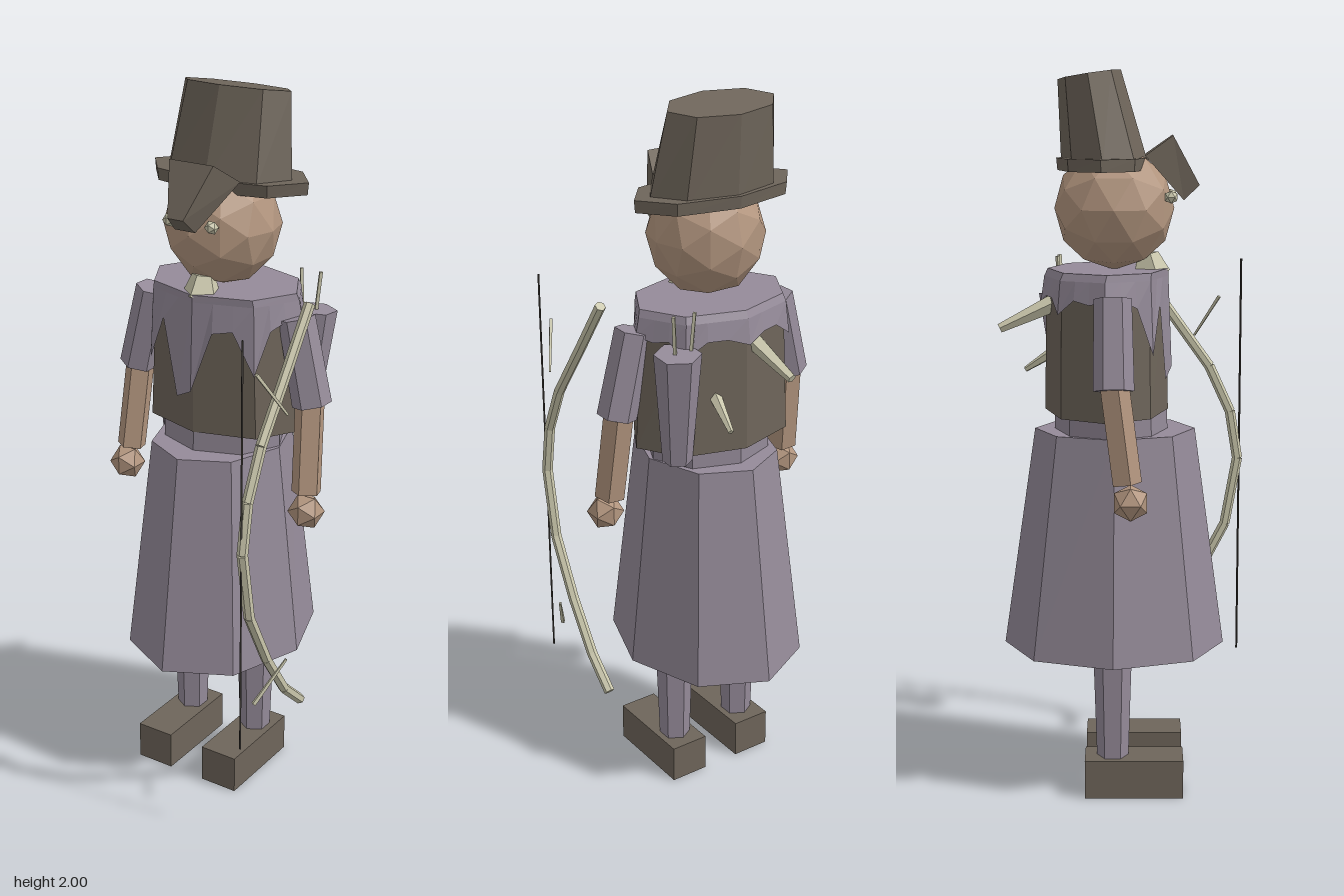
import * as THREE from 'three';

const V = (x, y, z) => new THREE.Vector3(x, y, z);
const CX = -0.007; // body centre line

function material(name, color, extra = {}) {
  const m = new THREE.MeshStandardMaterial({ color, flatShading: true, ...extra });
  m.name = name;
  return m;
}

// Elliptical frustum: each end is { y, z, rx, rz, tilt }
function frustum(bottom, top, sides = 8) {
  const g = new THREE.CylinderGeometry(1, 1, 1, sides).toNonIndexed();
  const p = g.attributes.position;
  for (let i = 0; i < p.count; i++) {
    const e = p.getY(i) > 0 ? top : bottom;
    const z = p.getZ(i) * e.rz;
    p.setXYZ(i, CX + p.getX(i) * e.rx, e.y + z * (e.tilt || 0), e.z + z);
  }
  g.computeVertexNormals();
  return g;
}

// Tapered rod from a to b
function rod(a, b, ra, rb, sides = 6) {
  const d = b.clone().sub(a);
  const g = new THREE.CylinderGeometry(rb, ra, d.length(), sides);
  g.applyQuaternion(new THREE.Quaternion().setFromUnitVectors(V(0, 1, 0), d.normalize()));
  const c = a.clone().add(b).multiplyScalar(0.5);
  return g.translate(c.x, c.y, c.z);
}

// Point on an octagon of unit radius, with a corner at the front
function octagon(angle) {
  const s = Math.PI / 4;
  const local = ((angle % s) + s) % s - s / 2;
  const r = Math.cos(s / 2) / Math.cos(local);
  return [Math.sin(angle) * r, Math.cos(angle) * r];
}

export function createModel() {
  const cloth = material('grey violet cloth', 0x958b99);
  const clothOpen = material('grey violet cape', 0x958b99, { side: THREE.DoubleSide });
  const leather = material('dark brown leather', 0x6e655a);
  const skin = material('skin', 0xb3967f);
  const bone = material('pale wood', 0xcac7ac);
  const dark = material('dark string', 0x3f3b36);

  const model = new THREE.Group();
  model.name = 'archer';
  const add = (name, geometry, mat) => {
    const mesh = new THREE.Mesh(geometry, mat);
    mesh.name = name;
    model.add(mesh);
    return mesh;
  };

  // Boots, legs, arms and hands, mirrored about the centre line
  for (const s of [-1, 1]) {
    const side = s < 0 ? 'right' : 'left';
    const at = (x, y, z) => V(CX + s * x, y, z);
    add(side + 'Boot', new THREE.BoxGeometry(0.113, 0.11, 0.275).translate(CX + s * 0.112, 0.055, 0.022), leather);
    add(side + 'Leg', rod(at(0.112, 0.1, -0.038), at(0.112, 0.45, -0.038), 0.044, 0.055), cloth);
    add(side + 'Sleeve', rod(at(0.287, 1.175, -0.032), at(0.232, 1.41, -0.035), 0.054, 0.05, 6), cloth);
    add(side + 'Forearm', rod(at(0.295, 0.93, 0), at(0.28, 1.2, -0.035), 0.042, 0.042, 5), skin);
    const hand = add(side + 'Hand', new THREE.IcosahedronGeometry(0.051, 0), skin);
    hand.position.copy(at(0.302, 0.88, 0.012));
    const eye = add(side + 'Eye', new THREE.IcosahedronGeometry(0.019, 0), bone);
    eye.position.copy(at(0.066, 1.665, 0.12));
  }

  // Skirt, torso and vest
  add('skirt', frustum({ y: 0.405, z: -0.035, rx: 0.254, rz: 0.31 }, { y: 1.025, z: -0.032, rx: 0.186, rz: 0.222 }), cloth);
  add('torso', frustum({ y: 1.0, z: -0.042, rx: 0.18, rz: 0.157 }, { y: 1.42, z: -0.05, rx: 0.18, rz: 0.15 }), cloth);
  add('vest', frustum({ y: 1.08, z: -0.055, rx: 0.242, rz: 0.17 }, { y: 1.42, z: -0.055, rx: 0.222, rz: 0.165 }), leather);
  add('sideDagger', rod(V(-0.185, 0.89, -0.02), V(-0.182, 1.04, -0.02), 0.004, 0.024, 4), cloth);

  // Short cape with a ragged lower edge: hem heights run round from the front
  const hem = [1.20, 1.37, 1.38, 1.26, 1.38, 1.40, 1.40, 1.39, 1.40, 1.36, 1.40, 1.40,
    1.38, 1.40, 1.40, 1.36, 1.40, 1.39, 1.40, 1.40, 1.38, 1.25, 1.38, 1.17];
  const cape = new THREE.CylinderGeometry(1, 1, 1, 24, 1, true);
  const cp = cape.attributes.position;
  for (let i = 0; i < cp.count; i++) {
    const k = i % 25;
    const [x, z] = octagon((k / 24) * Math.PI * 2);
    const top = cp.getY(i) > 0;
    cp.setXYZ(i, CX + x * (top ? 0.228 : 0.238), top ? 1.45 : hem[k % 24], -0.055 + z * (top ? 0.17 : 0.18));
  }
  cape.computeVertexNormals();
  add('raggedCape', cape, clothOpen);
  add('capeTop', frustum({ y: 1.45, z: -0.055, rx: 0.228, rz: 0.17 }, { y: 1.47, z: -0.05, rx: 0.222, rz: 0.165 }), cloth);

  // Head and chin tuft
  const head = add('head', new THREE.IcosahedronGeometry(1, 1), skin);
  head.scale.set(0.157, 0.168, 0.163);
  head.position.set(CX, 1.633, -0.033);
  add('chinTuft', rod(V(-0.01, 1.455, 0.065), V(-0.01, 1.51, 0.055), 0.055, 0.032, 5), bone);

  // Hat: brim, leaning crown and turned-down front flap
  add('hatBrim', frustum({ y: 1.735, z: -0.065, rx: 0.24, rz: 0.122 }, { y: 1.768, z: -0.065, rx: 0.243, rz: 0.125 }), leather);
  add('hatCrown', frustum({ y: 1.75, z: -0.06, rx: 0.195, rz: 0.116, tilt: 0.1 },
    { y: 1.988, z: -0.1, rx: 0.165, rz: 0.085, tilt: 0.15 }), leather);
  const flap = new THREE.BoxGeometry(1, 1, 1).toNonIndexed();
  const fp = flap.attributes.position;
  for (let i = 0; i < fp.count; i++) {
    const up = fp.getY(i) > 0, front = fp.getZ(i) > 0, s = Math.sign(fp.getX(i));
    const [x, y, z] = up ? (front ? [0.068, 1.828, 0.125] : [0.1, 1.775, 0.05])
      : (front ? [0.024, 1.695, 0.198] : [0.032, 1.655, 0.155]);
    fp.setXYZ(i, s * x, y, z);
  }
  flap.computeVertexNormals();
  add('hatFlap', flap, leather);

  // Bow with twigs and a straight string
  const BX = 0.293;
  const bend = [[1.475, 0.015], [1.34, 0.11], [1.155, 0.243], [1.02, 0.305], [0.88, 0.328],
    [0.68, 0.293], [0.51, 0.205], [0.37, 0.11], [0.287, 0.02]].map(([y, z]) => V(BX, y, z));
  for (let i = 0; i < bend.length - 1; i++) {
    add('bowLimb' + (i + 1), rod(bend[i], bend[i + 1], 0.015, 0.015, 6), bone);
  }
  add('upperTwig', rod(V(0.295, 1.36, 0.27), V(0.345, 1.24, 0.2), 0.006, 0.004, 4), bone);
  add('lowerTwig', rod(V(0.295, 0.4, 0.27), V(0.348, 0.52, 0.19), 0.007, 0.004, 4), bone);
  add('bowString', rod(V(BX, 0.29, 0.333), V(BX, 1.47, 0.333), 0.003, 0.003, 4), dark);

  // Quiver with two arrows
  add('quiver', rod(V(0.175, 1.07, -0.162), V(0.19, 1.385, -0.188), 0.04, 0.063, 6), cloth);
  add('arrow1', rod(V(0.155, 1.3, -0.185), V(0.142, 1.49, -0.195), 0.006, 0.006, 4), bone);
  add('arrow2', rod(V(0.19, 1.3, -0.18), V(0.205, 1.49, -0.192), 0.006, 0.006, 4), bone);

  // Tapered spikes standing out of the back
  add('upperSpike', rod(V(-0.038, 1.39, -0.17), V(-0.06, 1.31, -0.345), 0.028, 0.013, 5), bone);
  add('lowerSpike', rod(V(0.07, 1.25, -0.17), V(0.09, 1.175, -0.285), 0.02, 0.008, 5), bone);

  return model;
}
